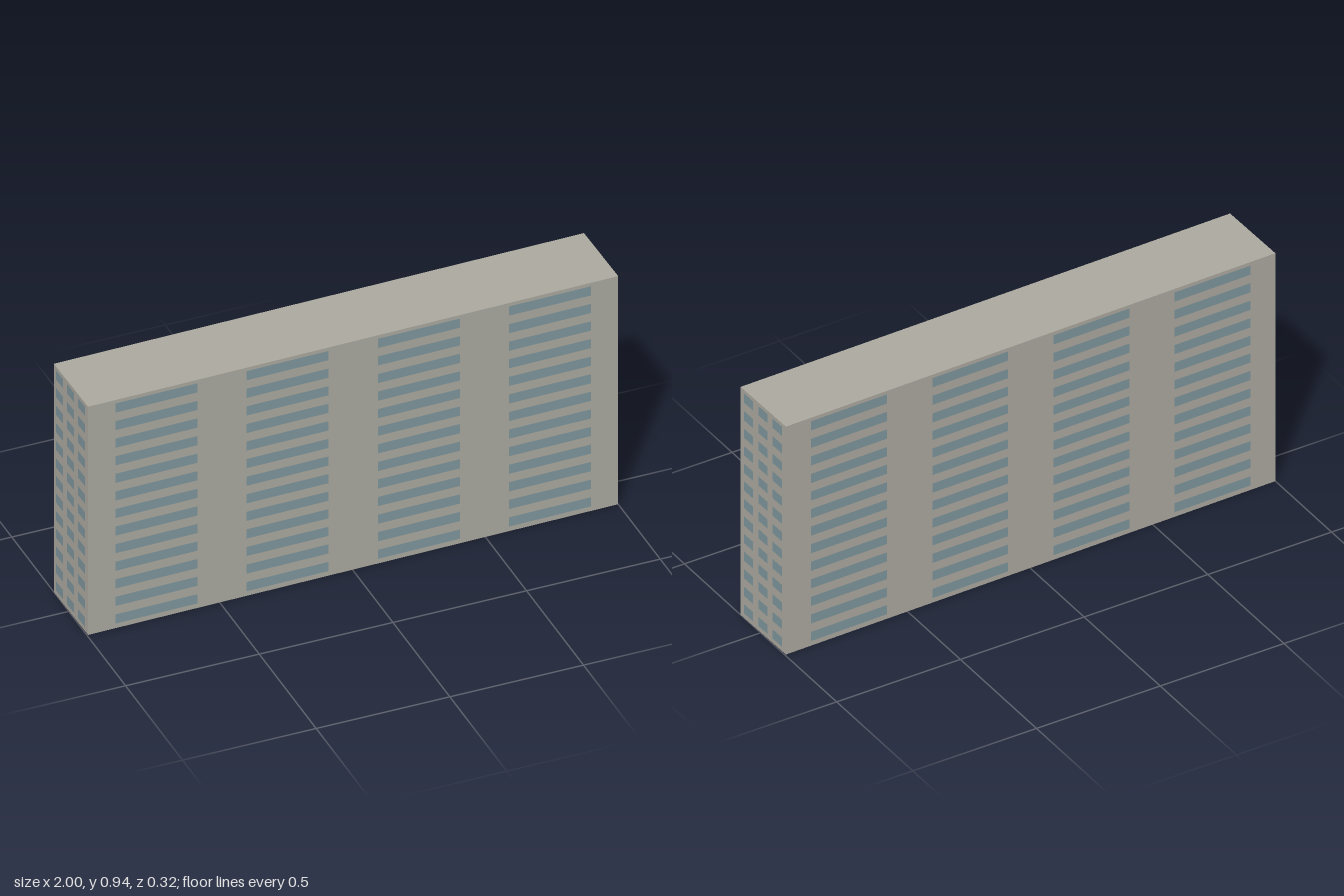
import * as THREE from 'three';

const LENGTH = 1.996, HEIGHT = 0.945, DEPTH = 0.291;
const FLOORS = 13, FIRST_FLOOR = 0.0388, FLOOR_STEP = 0.0728;
const WINDOW_HEIGHT = 0.038, GAP = 0.0012;

export function createModel() {
  const concrete = new THREE.MeshStandardMaterial({ color: 0xaaa89e, side: THREE.DoubleSide });
  concrete.name = 'concrete';
  const glass = new THREE.MeshStandardMaterial({ color: 0x7d959b });
  glass.name = 'window glass';

  const building = new THREE.Group();
  building.name = 'building';

  // Walls and roof: a box without its underside
  const shell = new THREE.BoxGeometry(LENGTH, HEIGHT, DEPTH);
  const index = Array.from(shell.index.array);
  index.splice(18, 6);
  shell.setIndex(index);
  shell.clearGroups();
  const walls = new THREE.Mesh(shell, concrete);
  walls.name = 'wallsAndRoof';
  walls.position.y = HEIGHT / 2;
  building.add(walls);

  // Window grid of one facade, repeated on every floor
  function addWindows(name, columns, width, distance, turn) {
    const facade = new THREE.Group();
    facade.name = name;
    const pane = new THREE.PlaneGeometry(width, WINDOW_HEIGHT);
    for (let floor = 0; floor < FLOORS; floor++) {
      for (const x of columns) {
        const mesh = new THREE.Mesh(pane, glass);
        mesh.name = 'window';
        mesh.position.set(x, FIRST_FLOOR + floor * FLOOR_STEP, distance + GAP);
        facade.add(mesh);
      }
    }
    facade.rotation.y = turn;
    building.add(facade);
  }

  const bays = [-0.741, -0.247, 0.247, 0.741];
  const endBays = [-0.0925, 0, 0.0925];
  addWindows('frontWindows', bays, 0.309, DEPTH / 2, 0);
  addWindows('backWindows', bays, 0.309, DEPTH / 2, Math.PI);
  addWindows('leftWindows', endBays, 0.0595, LENGTH / 2, Math.PI / 2);
  addWindows('rightWindows', endBays, 0.0595, LENGTH / 2, -Math.PI / 2);

  // The block stands slightly turned on its plot
  building.rotation.y = 0.0145;

  const model = new THREE.Group();
  model.name = 'apartmentBlock';
  model.add(building);
  return model;
}
